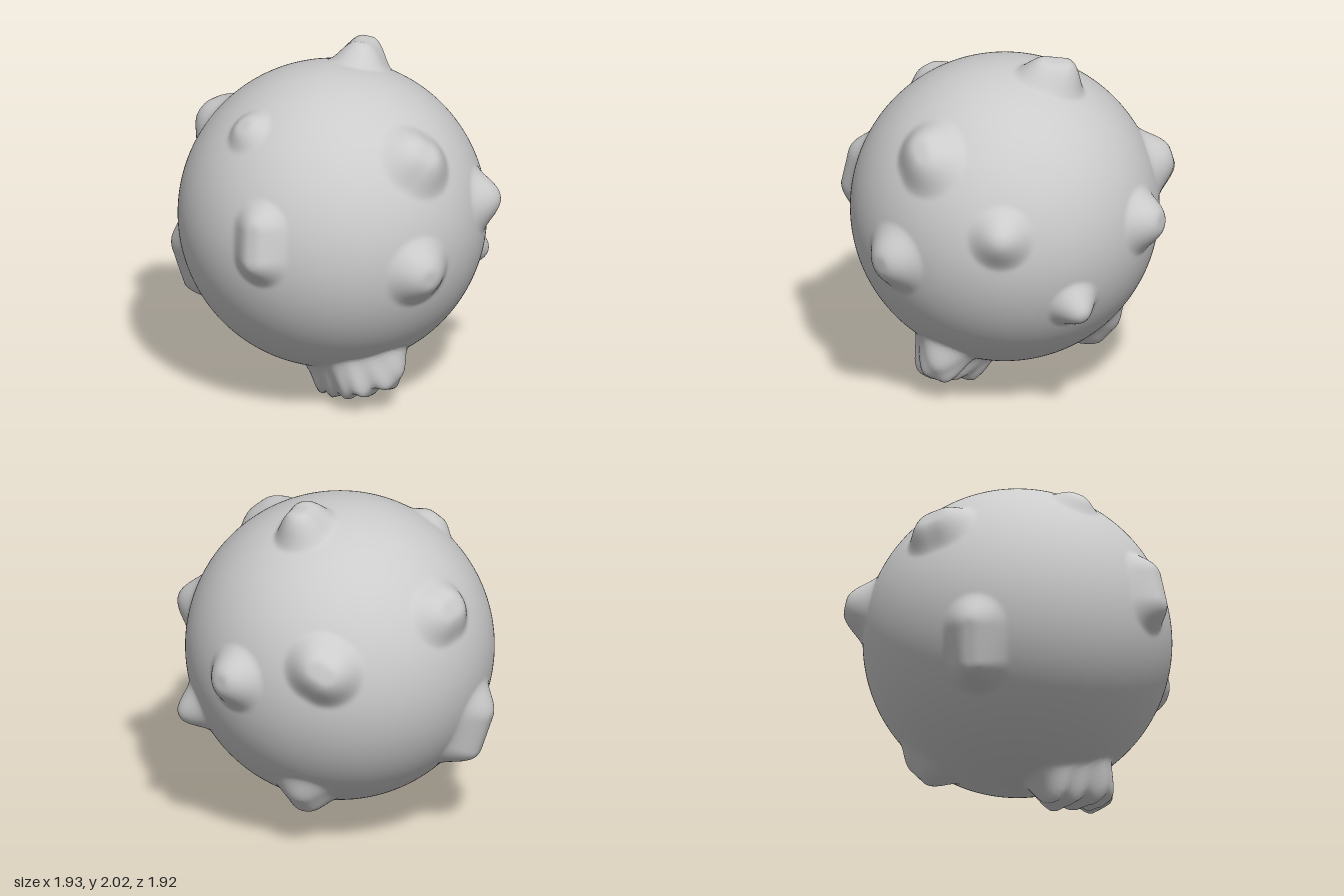
import * as THREE from 'three';
import { mergeVertices } from 'three/addons/utils/BufferGeometryUtils.js';

const R = 0.89;
const CENTER = [-0.02, 1.03, 0.02];
const V = (p) => new THREE.Vector3(...p);

// Knobs: path of peak points measured from the ball's centre, base radius, flat tip radius, fold depth
const KNOBS = [
  { path: [[0.14, 0.965, -0.26], [0.15, 0.965, -0.35]], base: 0.2, tip: 0.04 },    // top
  { path: [[-0.33, 0.03, 0.93], [-0.33, 0.22, 0.89]], base: 0.2, tip: 0.03 },      // front, tall
  { path: [[0.60, 0.62, 0.50], [0.65, 0.58, 0.48]], base: 0.25, tip: 0.04 },       // front left, upper
  { path: [[0.68, -0.09, 0.72]], base: 0.25, tip: 0.05 },                          // front left, middle
  { path: [[-0.45, 0.69, 0.45]], base: 0.17, tip: 0.05 },                          // front right, upper
  { path: [[0.98, 0.17, 0.03]], base: 0.22, tip: 0.02 },                           // left
  { path: [[0.83, -0.36, -0.45]], base: 0.18, tip: 0.02 },                         // left, lower
  { path: [[-0.22, 0.23, -0.965], [-0.16, 0.26, -0.96]], base: 0.24, tip: 0.05 },  // back
  { path: [[0.44, 0.08, -0.9]], base: 0.23, tip: 0.05 },                           // back left
  { path: [[-0.8, 0.48, -0.3], [-0.77, 0.47, -0.38]], base: 0.22, tip: 0.05 },     // right, upper
  { path: [[-0.94, -0.3, -0.09], [-0.87, -0.52, -0.1]], base: 0.22, tip: 0.03 },   // right, lower
  { path: [[0.04, -0.81, -0.56], [0.05, -0.74, -0.62]], base: 0.2, tip: 0.03 },    // bottom back
  { path: [[0.05, -1.025, 0.24], [0.22, -0.95, 0.44], [0.39, -0.9, 0.40]], base: 0.2, tip: 0.06, fold: 0.014 }, // bottom ridge
].map((k) => ({ ...k, path: k.path.map(V) }));

// Height of one knob above the ball in direction d
function knobHeight(d, { path, base, tip, fold = 0 }) {
  let best = 0;
  const peak = new THREE.Vector3();
  const line = new THREE.Line3();
  for (let i = 0; i < Math.max(1, path.length - 1); i++) {
    line.set(path[i], path[Math.min(i + 1, path.length - 1)]);
    if (path.length === 1) peak.copy(path[0]);
    else line.closestPointToPoint(d, true, peak);
    const height = peak.length() - R;
    const dist = peak.normalize().distanceTo(d);
    const t = THREE.MathUtils.clamp((base - dist) / (base - tip), 0, 1);
    const rise = 0.35 * t + 0.65 * t * t * (3 - 2 * t);
    best = Math.max(best, rise * (height + fold * Math.sin((d.x + 0.3 * d.z) * 55)));
  }
  return best;
}

export function createModel() {
  const group = new THREE.Group();
  group.name = 'knobblyBall';

  // Even sphere with shared vertices for smooth normals
  let geo = new THREE.IcosahedronGeometry(1, 56);
  geo.deleteAttribute('normal');
  geo.deleteAttribute('uv');
  geo = mergeVertices(geo, 1e-5);

  // Push the surface outwards at each knob
  const pos = geo.attributes.position;
  const d = new THREE.Vector3();
  for (let i = 0; i < pos.count; i++) {
    d.fromBufferAttribute(pos, i).normalize();
    let h = 0;
    for (const k of KNOBS) h = Math.max(h, knobHeight(d, k));
    d.multiplyScalar(R + h);
    pos.setXYZ(i, d.x, d.y, d.z);
  }
  geo.computeVertexNormals();

  const ball = new THREE.Mesh(geo, new THREE.MeshStandardMaterial({ color: 0xcccccc }));
  ball.name = 'ballWithKnobs';
  geo.computeBoundingBox();
  ball.position.set(CENTER[0], -geo.boundingBox.min.y, CENTER[2]);
  group.add(ball);
  return group;
}
